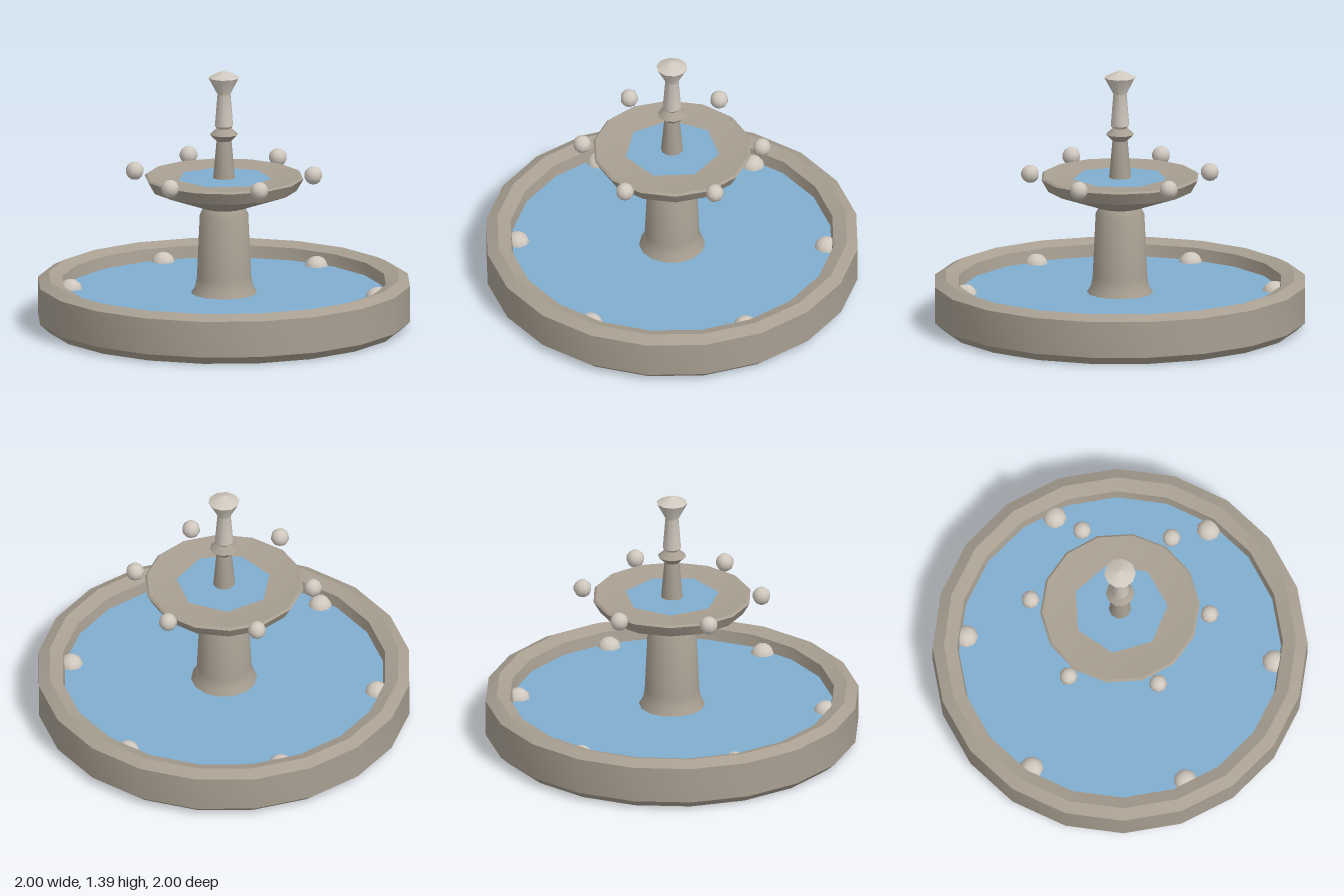
import * as THREE from 'three';
import { toCreasedNormals } from 'three/addons/utils/BufferGeometryUtils.js';

const material = (name, color) => {
  const m = new THREE.MeshStandardMaterial({ color });
  m.name = name;
  return m;
};

export function createModel() {
  const stone = material('stone', 0xa89f91);
  const paleStone = material('pale stone', 0xd0c8be);
  const water = material('water', 0x80aed0);
  const fountain = new THREE.Group();
  fountain.name = 'fountain';

  const add = (name, geometry, mat, x = 0, y = 0, z = 0) => {
    const mesh = new THREE.Mesh(geometry, mat);
    mesh.name = name;
    mesh.position.set(x, y, z);
    fountain.add(mesh);
    return mesh;
  };

  // Turned part: profile of [radius, height], smooth around and creased at ledges
  const turn = (name, profile, sides, mat, start = 0) => {
    const points = profile.map(([r, y]) => new THREE.Vector2(r, y));
    const geometry = new THREE.LatheGeometry(points, sides, start, Math.PI * 2);
    return add(name, toCreasedNormals(geometry, 0.64), mat);
  };

  // Level sheet of water
  const pool = (name, radius, sides, y) =>
    add(name, new THREE.CircleGeometry(radius, sides).rotateX(-Math.PI / 2), water, 0, y);

  // Six balls spaced evenly around the axis
  const ballRing = (name, ringRadius, ballRadius, y) => {
    const geometry = new THREE.SphereGeometry(ballRadius, 9, 7);
    for (let i = 0; i < 6; i++) {
      const a = (i * Math.PI) / 3;
      add(name + (i + 1), geometry, paleStone, Math.cos(a) * ringRadius, y, Math.sin(a) * ringRadius);
    }
  };

  // Lower basin with bevelled foot and ridged rim
  turn('basin', [
    [0, 0], [0.95, 0], [1, 0.045], [1, 0.24], [0.94, 0.27],
    [0.87, 0.245], [0.855, 0.15], [0, 0.15],
  ], 20, stone);
  pool('basinWater', 0.862, 20, 0.18);
  ballRing('basinBall', 0.825, 0.066, 0.165);

  // Pedestal with flared foot
  turn('pedestal', [
    [0.18, 0.165], [0.175, 0.185], [0.155, 0.215], [0.146, 0.27], [0.13, 0.61], [0.11, 0.65],
  ], 14, stone);

  // Upper bowl
  turn('bowl', [
    [0, 0.645], [0.11, 0.645], [0.39, 0.745], [0.427, 0.81], [0.415, 0.82],
    [0.33, 0.809], [0.2, 0.8], [0, 0.8],
  ], 14, stone, Math.PI / 14);
  pool('bowlWater', 0.255, 7, 0.808);
  ballRing('bowlBall', 0.48, 0.049, 0.832);

  // Spire: collared stem, then a pale finial
  turn('stem', [
    [0.06, 0.8], [0.041, 1.01], [0.076, 1.045], [0.036, 1.08], [0, 1.08],
  ], 10, stone);
  turn('finial', [
    [0, 1.075], [0.036, 1.075], [0.05, 1.092], [0.036, 1.265], [0.084, 1.355], [0, 1.395],
  ], 10, paleStone);

  return fountain;
}
